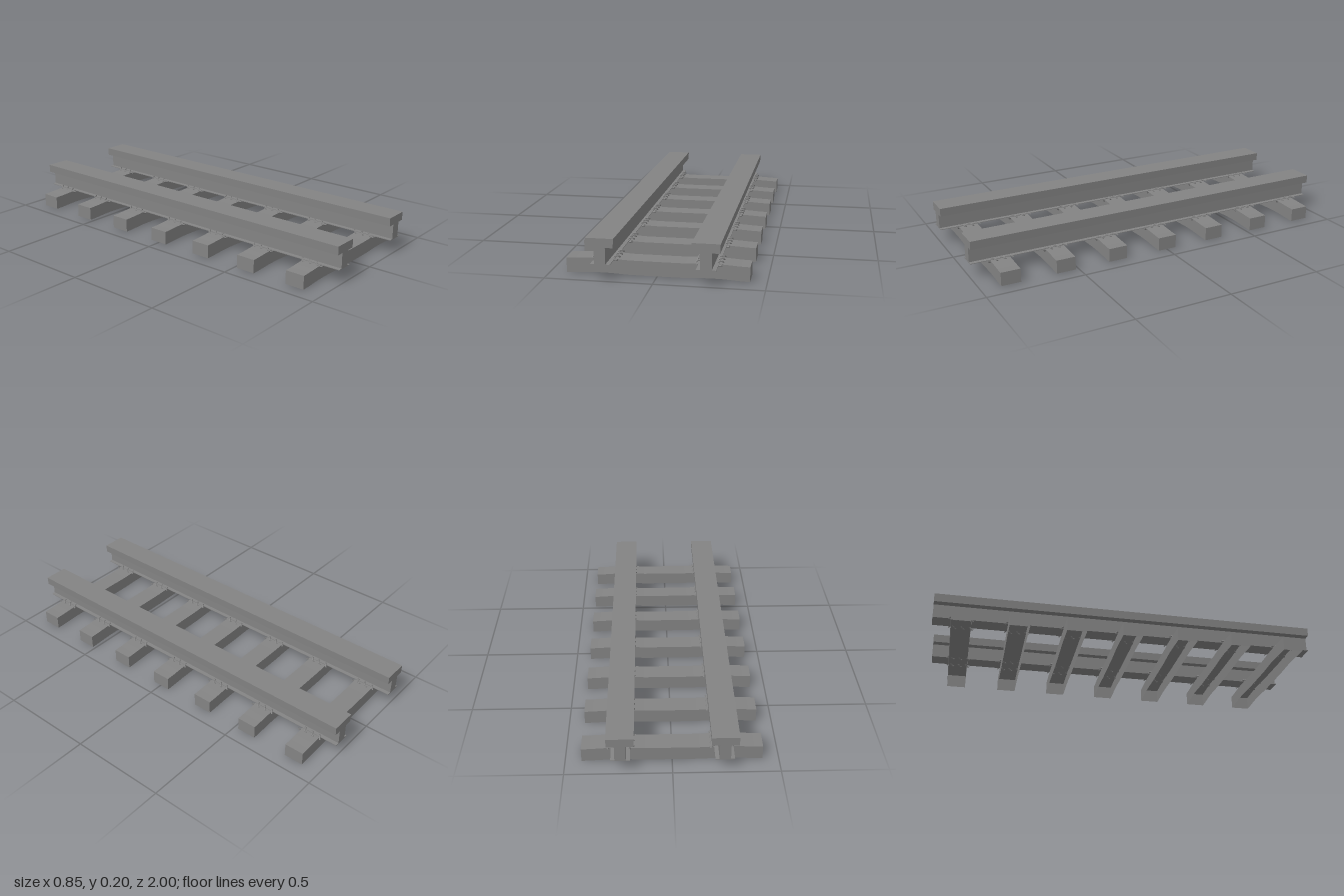
import * as THREE from 'three';

const material = new THREE.MeshStandardMaterial({ color: 0x838383, flatShading: true, side: THREE.DoubleSide });

const RAIL_X = 0.239;
const SLEEPERS = 7;
const SPACING = 0.2845;

function add(parent, name, geometry, x = 0, y = 0, z = 0) {
  const mesh = new THREE.Mesh(geometry, material);
  mesh.name = name;
  mesh.position.set(x, y, z);
  parent.add(mesh);
  return mesh;
}

// Rail: wide head, narrow web and a thin foot, swept along z
function railGeometry() {
  const half = [
    [0.045, 0.076], [0.045, 0.079], [0.026, 0.08], [0.026, 0.157],
    [0.062, 0.157], [0.064, 0.2],
  ];
  const mirrored = half.map(([x, y]) => [-x, y]).reverse();
  const shape = new THREE.Shape([...half, ...mirrored].map(([x, y]) => new THREE.Vector2(x, y)));
  const geometry = new THREE.ExtrudeGeometry(shape, { depth: 2, bevelEnabled: false });
  return geometry.translate(0, 0, -1);
}

// Sleeper: box shell open underneath, raised gently beneath each rail
function sleeperGeometry() {
  const geometry = new THREE.BoxGeometry(0.847, 0.069, 0.1, 20, 1, 1);
  const bottom = geometry.groups[3];
  const index = Array.from(geometry.index.array);
  index.splice(bottom.start, bottom.count);
  geometry.setIndex(index);
  geometry.clearGroups();

  const position = geometry.attributes.position;
  for (let i = 0; i < position.count; i++) {
    const x = Math.abs(position.getX(i));
    const rise = x < RAIL_X
      ? 0.002 + 0.005 * THREE.MathUtils.smoothstep(x, 0.11, RAIL_X)
      : 0.007 * (1 - THREE.MathUtils.smoothstep(x, 0.27, 0.423));
    position.setY(i, position.getY(i) + 0.0345 + rise);
  }
  geometry.computeVertexNormals();
  return geometry;
}

// Spring clip: small coil of rod lying along the rail foot
function clipGeometry() {
  const points = [];
  const turns = 3, steps = 8 * turns;
  for (let i = 0; i <= steps; i++) {
    const t = i / steps;
    const a = t * turns * Math.PI * 2;
    points.push(new THREE.Vector3(0.013 * Math.cos(a), 0.007 * Math.sin(a), (t - 0.5) * 0.124));
  }
  return new THREE.TubeGeometry(new THREE.CatmullRomCurve3(points), 48, 0.004, 5);
}

export function createModel() {
  const track = new THREE.Group();
  track.name = 'railwayTrack';

  const rail = railGeometry();
  const sleeper = sleeperGeometry();
  const clip = clipGeometry();

  for (const side of [-1, 1]) {
    add(track, side > 0 ? 'leftRail' : 'rightRail', rail, side * RAIL_X);
  }

  // Sleepers, each with a clip on both sides of both rails
  for (let i = 0; i < SLEEPERS; i++) {
    const tie = new THREE.Group();
    tie.name = 'sleeperAssembly';
    tie.position.z = (i - (SLEEPERS - 1) / 2) * SPACING - 0.003;
    add(tie, 'sleeper', sleeper);
    for (const side of [-1, 1]) {
      for (const edge of [-1, 1]) {
        add(tie, 'railClip', clip, side * RAIL_X + edge * 0.048, 0.077, 0);
      }
    }
    track.add(tie);
  }
  return track;
}
